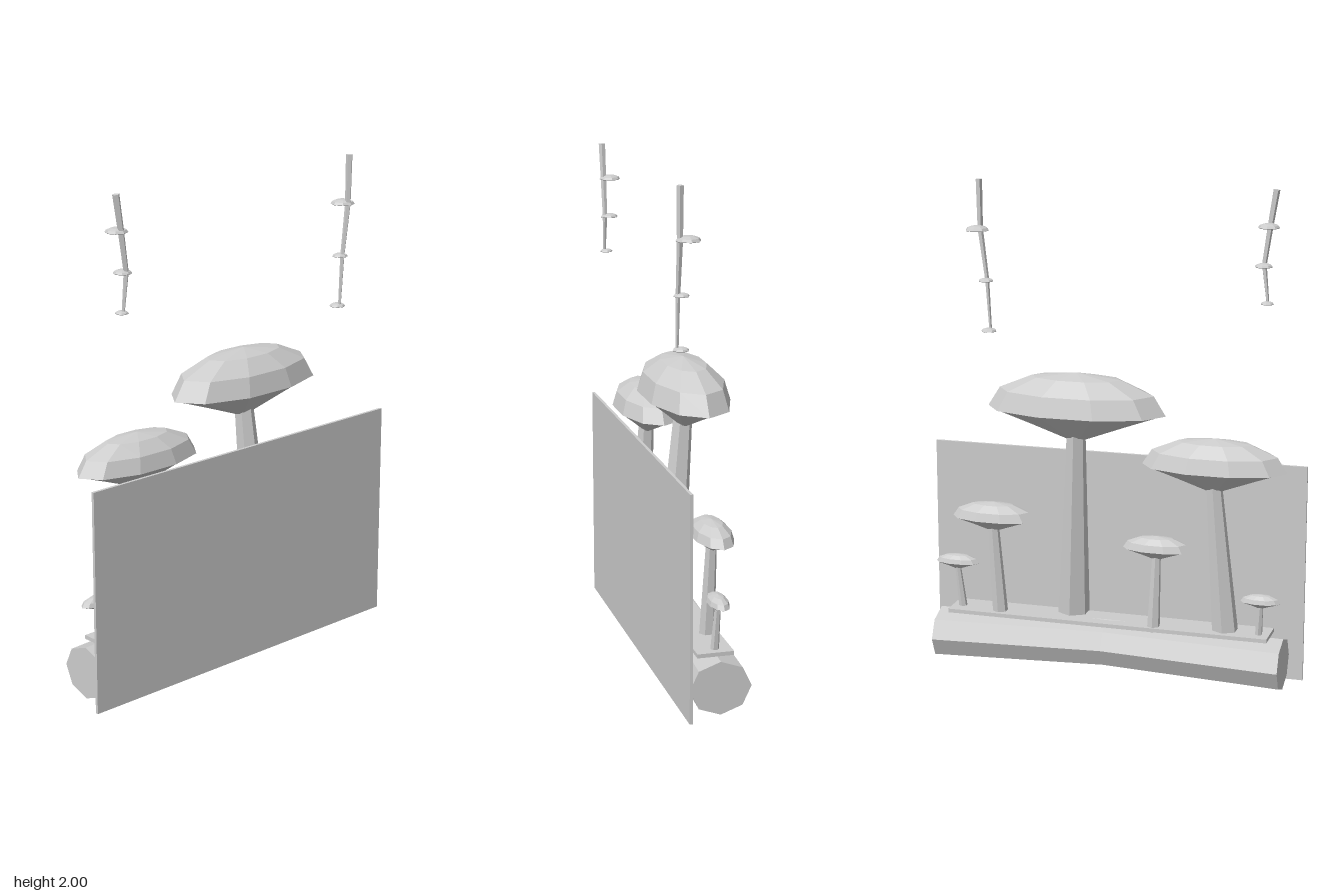
import * as THREE from 'three';

const stone = new THREE.MeshStandardMaterial({ color: 0xcccccc });
stone.name = 'pale grey';

function part(name, geometry, parent) {
  const flat = geometry.index ? geometry.toNonIndexed() : geometry;
  flat.computeVertexNormals(); // faceted look
  const mesh = new THREE.Mesh(flat, stone);
  mesh.name = name;
  parent.add(mesh);
  return mesh;
}

// Tapered rod from point a (radius ra) to point b (radius rb)
function rod(name, a, ra, b, rb, sides, parent) {
  const from = new THREE.Vector3(...a), to = new THREE.Vector3(...b);
  const dir = to.clone().sub(from);
  const mesh = part(name, new THREE.CylinderGeometry(rb, ra, dir.length(), sides), parent);
  mesh.position.copy(from).add(to).multiplyScalar(0.5);
  mesh.quaternion.setFromUnitVectors(new THREE.Vector3(0, 1, 0), dir.normalize());
}

// Domed cap turned from a profile; the rim sits on y = 0
function cap(name, center, rx, rz, height, depth, sides, parent) {
  const profile = [[0, -depth], [0.12, -depth], [0.56, -depth * 0.47], [0.95, -0.002],
    [1, 0], [0.866, height * 0.5], [0.5, height * 0.866], [0, height]];
  const geometry = new THREE.LatheGeometry(profile.map(([r, y]) => new THREE.Vector2(r, y)), sides);
  geometry.rotateY(Math.PI / 2).scale(rx, 1, rz);
  part(name, geometry, parent).position.set(...center);
}

export function createModel() {
  const model = new THREE.Group();
  model.name = 'mushroomLogDisplay';

  // Front panel
  part('frontPanel', new THREE.BoxGeometry(1.575, 0.9, 0.012), model).position.set(0, 0.45, 0.15);

  // Eight-sided log, slightly arched and slimmer at the middle
  const log = new THREE.CylinderGeometry(1, 1, 1.46, 8, 2);
  log.rotateZ(Math.PI / 2);
  const p = log.attributes.position;
  for (let i = 0; i < p.count; i++) {
    const mid = 1 - Math.abs(p.getX(i)) / 0.73;
    p.setY(i, 0.108 + 0.026 * mid + p.getY(i) * (0.107 - 0.008 * mid));
    p.setZ(i, 0.018 - 0.016 * mid + p.getZ(i) * (0.122 - 0.01 * mid));
  }
  part('log', log, model);

  // Thin ledge on top of the log
  part('ledge', new THREE.BoxGeometry(1.35, 0.016, 0.145), model).position.set(0, 0.223, 0.022);

  // Mushrooms: stem base, base and top radius, cap centre, cap radii, cap height, underside depth
  const mushrooms = [
    { base: [0.165, 0.21, 0.073], r: [0.067, 0.038], top: [0.13, 1.103, 0], cap: [0.372, 0.167, 0.157, 0.115] },
    { base: [-0.49, 0.21, 0.024], r: [0.055, 0.032], top: [-0.44, 0.905, 0.003], cap: [0.295, 0.131, 0.123, 0.09] },
    { base: [0.46, 0.21, -0.004], r: [0.032, 0.022], top: [0.482, 0.63, -0.015], cap: [0.175, 0.078, 0.07, 0.05] },
    { base: [0.63, 0.21, 0.015], r: [0.018, 0.012], top: [0.65, 0.42, 0.008], cap: [0.093, 0.04, 0.036, 0.028] },
    { base: [-0.2, 0.21, -0.018], r: [0.027, 0.018], top: [-0.21, 0.555, -0.011], cap: [0.14, 0.062, 0.056, 0.04] },
    { base: [-0.63, 0.21, 0.006], r: [0.016, 0.011], top: [-0.64, 0.37, -0.008], cap: [0.082, 0.037, 0.034, 0.024] },
  ];
  mushrooms.forEach(({ base, r, top, cap: [rx, rz, height, depth] }) => {
    const group = new THREE.Group();
    group.name = 'mushroom';
    model.add(group);
    const neck = [top[0], top[1] - depth * 0.6, top[2]];
    rod('stem', base, r[0], neck, r[1], 6, group);
    cap('cap', top, rx, rz, height, depth, 10, group);
  });

  // Hanging vines: path points [x, y, radius] and small caps [x, y, radius]
  const vines = [
    { path: [[-0.642, 2, 0.014], [-0.62, 1.86, 0.012], [-0.598, 1.705, 0.01], [-0.615, 1.555, 0.006]],
      caps: [[-0.62, 1.855, 0.044], [-0.6, 1.7, 0.036], [-0.615, 1.552, 0.026]] },
    { path: [[0.58, 2, 0.014], [0.577, 1.8, 0.012], [0.55, 1.59, 0.009], [0.538, 1.385, 0.006]],
      caps: [[0.578, 1.797, 0.049], [0.55, 1.588, 0.031], [0.54, 1.382, 0.032]] },
  ];
  vines.forEach(({ path, caps }) => {
    const group = new THREE.Group();
    group.name = 'hangingVine';
    model.add(group);
    for (let i = 0; i < path.length - 1; i++) {
      const [a, b] = [path[i], path[i + 1]];
      rod('vine', [a[0], a[1], 0.137], a[2], [b[0], b[1], 0.137], b[2], 5, group);
    }
    caps.forEach(([x, y, r]) => cap('vineCap', [x, y, 0.155 - r], r, r, r * 0.4, 0.003, 8, group));
  });

  return model;
}
